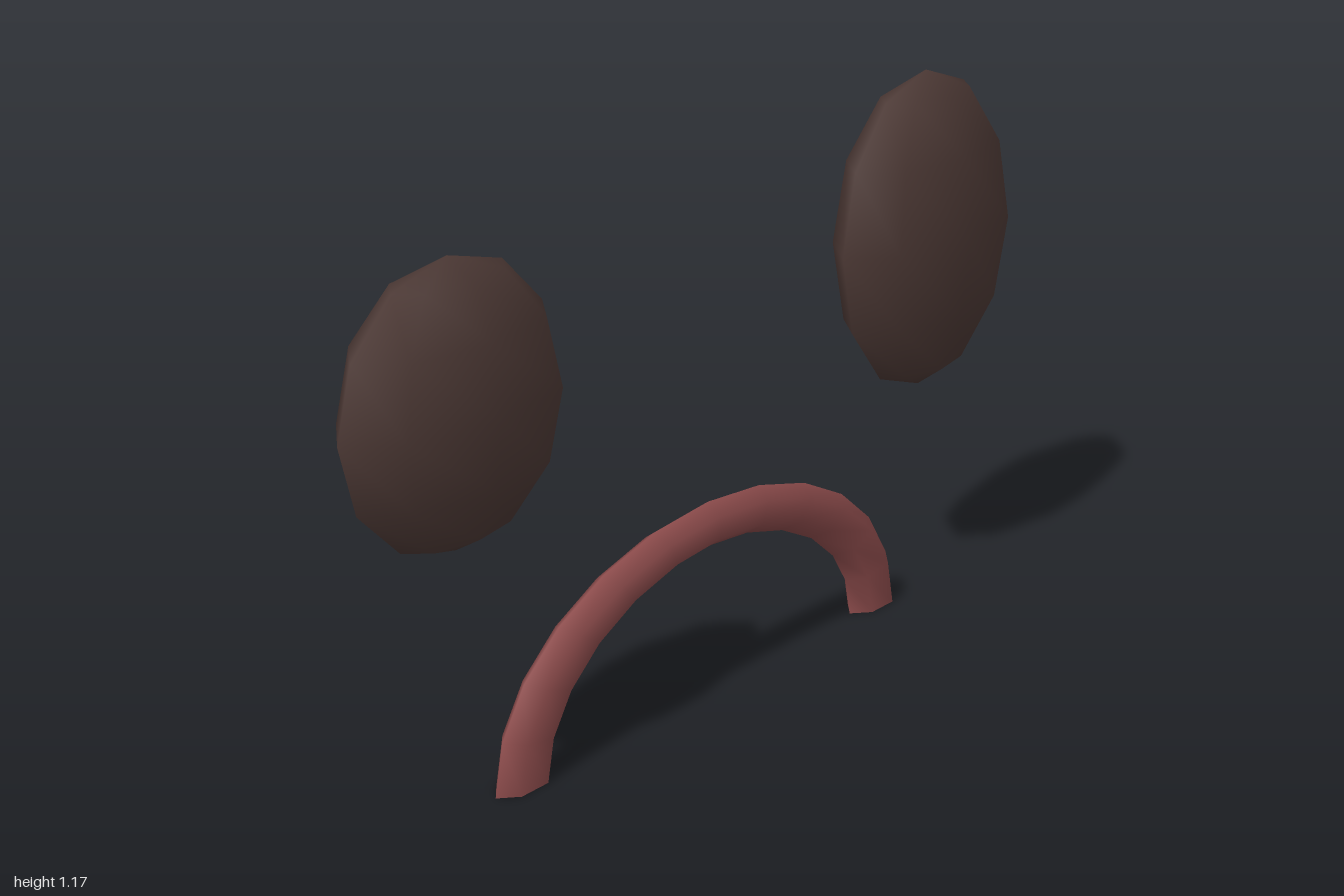
import * as THREE from 'three';

export function createModel() {
  const group = new THREE.Group();
  const eyeMaterial = new THREE.MeshStandardMaterial({ color: 0x4a3733 });
  const mouthMaterial = new THREE.MeshStandardMaterial({ color: 0x8a4a4a, side: THREE.DoubleSide });

  // Flattened low-poly eyes; the left one is taller
  const eyeGeometry = new THREE.SphereGeometry(1, 8, 6);
  const addEye = (name, x, height) => {
    const eye = new THREE.Mesh(eyeGeometry, eyeMaterial);
    eye.name = name;
    eye.position.set(x, 0.82, 0);
    eye.scale.set(0.28, height, 0.126);
    group.add(eye);
  };
  addEye('rightEye', -0.72, 0.28);
  addEye('leftEye', 0.72, 0.35);

  // Arched mouth: open-ended half ring, squashed in height and depth
  const mouth = new THREE.Mesh(new THREE.TorusGeometry(0.561, 0.0745, 6, 12, Math.PI), mouthMaterial);
  mouth.name = 'mouth';
  mouth.scale.set(1, 0.65, 0.52);
  group.add(mouth);

  return group;
}
